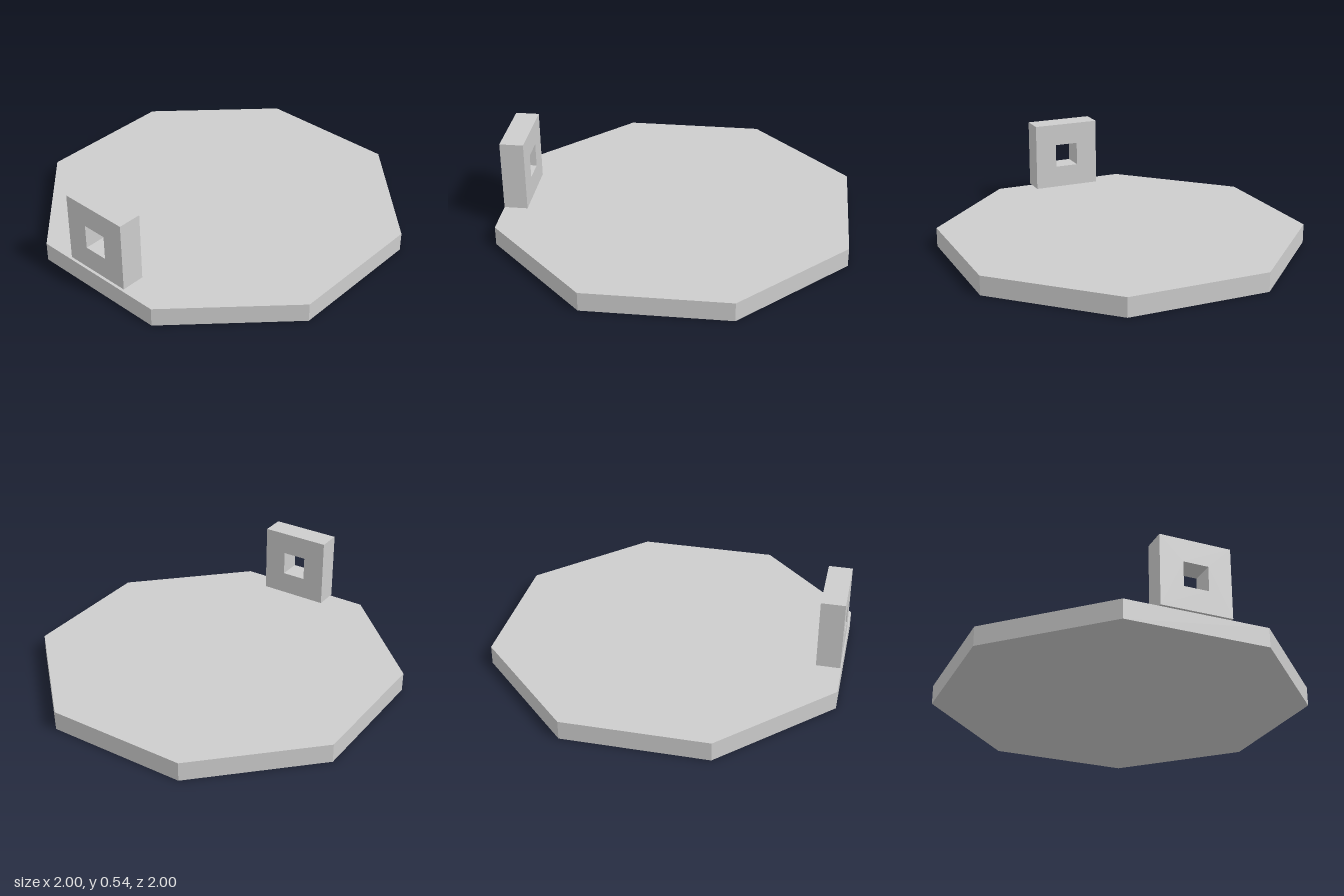
import * as THREE from 'three';

// Closed square outline centred on the origin
function square(path, h) {
  path.moveTo(-h, -h);
  path.lineTo(h, -h);
  path.lineTo(h, h);
  path.lineTo(-h, h);
  path.closePath();
  return path;
}

export function createModel() {
  const model = new THREE.Group();
  const grey = new THREE.MeshStandardMaterial({ color: 0xcccccc });
  grey.name = 'light grey';
  grey.flatShading = true;

  // Octagonal plate, flat sides facing the axes
  const plateHeight = 0.112;
  const radius = 1 / Math.cos(Math.PI / 8);
  const plateGeometry = new THREE.CylinderGeometry(radius, radius, plateHeight, 8);
  plateGeometry.rotateY(Math.PI / 8);
  plateGeometry.translate(0, plateHeight / 2, 0);
  const plate = new THREE.Mesh(plateGeometry, grey);
  plate.name = 'octagonalPlate';
  model.add(plate);

  // Square hanging lug with a square hole, set just above the front edge
  const outline = square(new THREE.Shape(), 0.206);
  outline.holes.push(square(new THREE.Path(), 0.072));
  const lug = new THREE.Mesh(
    new THREE.ExtrudeGeometry(outline, { depth: 0.137, bevelEnabled: false }), grey);
  lug.position.set(0, 0.331, 0.857);
  lug.name = 'hangingLug';
  model.add(lug);

  return model;
}
